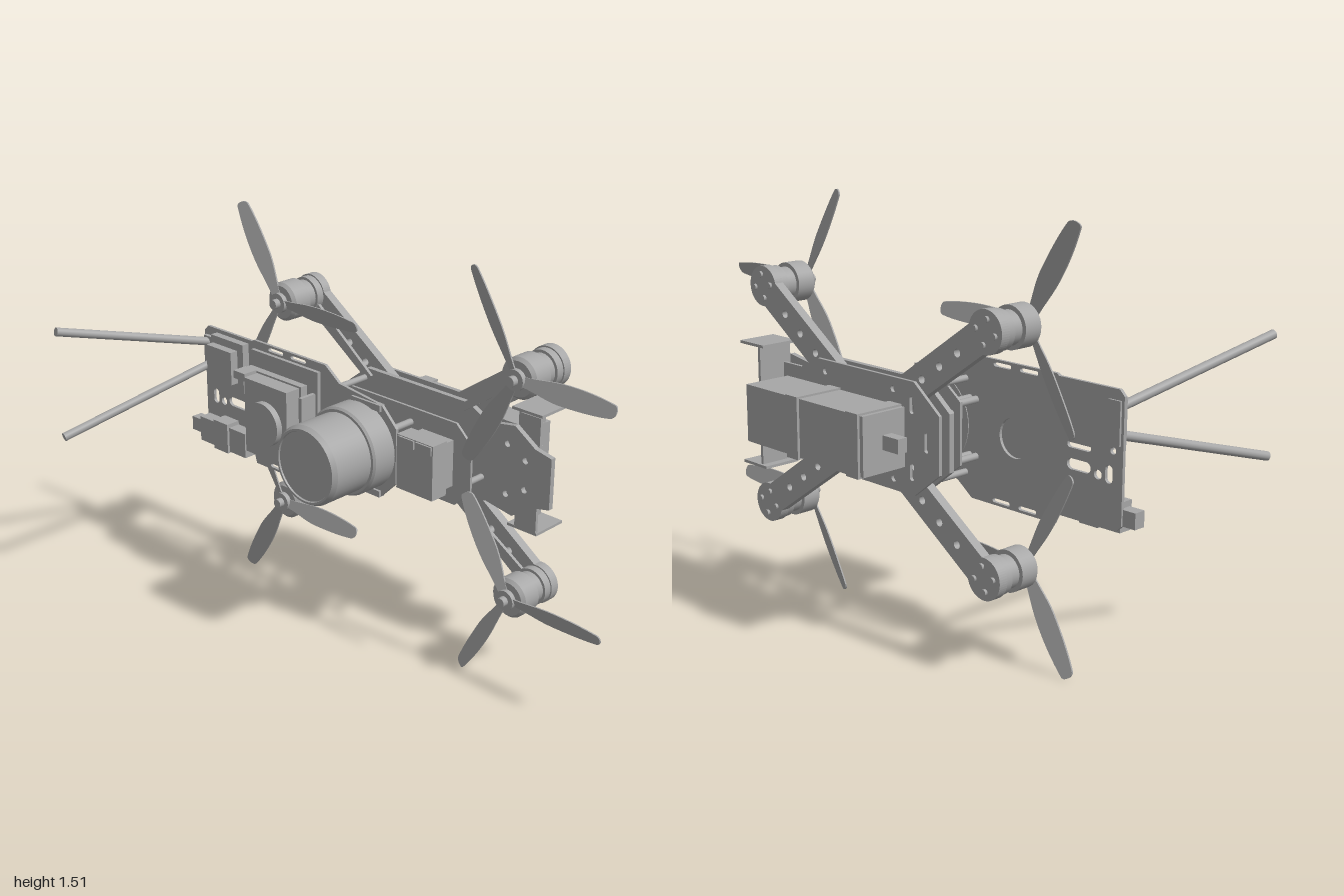
import * as THREE from 'three';

const CY = 0.755; // height of the long axis

export function createModel() {
  const model = new THREE.Group();
  const grey = new THREE.MeshStandardMaterial({ color: 0xa6a6a6 });

  const add = (geo, name, parent = model) => {
    const m = new THREE.Mesh(geo, grey);
    m.name = name;
    parent.add(m);
    return m;
  };
  // box given by its limits
  const box = (name, x0, x1, y0, y1, z0, z1) =>
    add(new THREE.BoxGeometry(x1 - x0, y1 - y0, z1 - z0), name)
      .position.set((x0 + x1) / 2, (y0 + y1) / 2, (z0 + z1) / 2);
  // cylinder along z
  const disc = (name, x, y, r, z0, z1, parent = model, sides = 32, r2 = r) =>
    add(new THREE.CylinderGeometry(r2, r, z1 - z0, sides).rotateX(Math.PI / 2), name, parent)
      .position.set(x, y, (z0 + z1) / 2);
  const slot = (x0, x1, y0, y1) => {
    const p = new THREE.Path(), r = Math.min(x1 - x0, y1 - y0) / 2;
    const flat = x1 - x0 > y1 - y0;
    if (flat) {
      p.absarc(x1 - r, y0 + r, r, -Math.PI / 2, Math.PI / 2);
      p.absarc(x0 + r, y0 + r, r, Math.PI / 2, Math.PI * 1.5);
    } else {
      p.absarc(x0 + r, y1 - r, r, 0, Math.PI);
      p.absarc(x0 + r, y0 + r, r, Math.PI, Math.PI * 2);
    }
    p.closePath();
    return p;
  };
  const hole = (x, y, r) => slot(x - r, x + r, y - r, y + r);
  // flat plate from an outline, with holes
  const plate = (name, pts, z0, z1, holes = []) => {
    const s = new THREE.Shape(pts.map(p => new THREE.Vector2(...p)));
    s.holes = holes;
    const g = new THREE.ExtrudeGeometry(s, { depth: z1 - z0, bevelEnabled: false, curveSegments: 8 });
    add(g, name).position.z = z0;
  };
  // outline mirrored about the long axis, from the upper half [x, half width]
  const mirrored = half => [
    ...half.map(([x, h]) => [x, CY + h]),
    ...half.slice().reverse().map(([x, h]) => [x, CY - h]),
  ];

  // frame plates
  plate('frontPlate', [[-0.88, 0.98], [-0.86, 1], [-0.61, 1], [-0.6, 1.007], [-0.22, 1.007], [-0.15, 0.955],
    [0.06, 0.93], [0.13, 0.86], [0.13, 0.65], [0.06, 0.58], [-0.15, 0.555], [-0.22, 0.503], [-0.6, 0.503],
    [-0.61, 0.54], [-0.86, 0.54], [-0.88, 0.56]], -0.097, -0.085, [
    slot(-0.75, -0.65, 0.703, 0.74), slot(-0.84, -0.81, 0.69, 0.75), hole(-0.78, 0.71, 0.016),
    slot(-0.75, -0.65, 0.775, 0.8), hole(-0.84, 0.8, 0.012),
    slot(-0.52, -0.44, 0.983, 0.998), slot(-0.40, -0.32, 0.983, 0.998),
    slot(-0.52, -0.44, 0.512, 0.527), slot(-0.40, -0.32, 0.512, 0.527), hole(-0.42, CY, 0.07)]);
  plate('middlePlate', mirrored([[-0.26, 0.11], [-0.2, 0.155], [0.32, 0.155], [0.39, 0.09]]), -0.193, -0.183);
  const core = [[-0.32, 0.1], [-0.2, 0.195], [0.29, 0.195], [0.38, 0.15]];
  plate('innerPlate', mirrored([...core, [0.5, 0.17], [0.59, 0.11], [0.66, 0.095]]), -0.3, -0.28, [
    hole(0.55, 0.81, 0.012), hole(0.55, 0.7, 0.012), hole(0.47, 0.85, 0.012), hole(0.47, 0.66, 0.012)]);
  plate('backPlate', mirrored([...core, [0.48, 0.15]]), -0.347, -0.335, [
    slot(-0.27, -0.25, 0.72, 0.79), slot(-0.2, -0.18, 0.84, 0.9), slot(-0.2, -0.18, 0.61, 0.67),
    hole(-0.1, 0.91, 0.012), hole(-0.1, 0.6, 0.012), hole(0.25, 0.91, 0.012), hole(0.25, 0.6, 0.012)]);

  // spacers between the plates
  for (const s of [1, -1]) {
    for (const x of [-0.22, 0, 0.12, 0.24, 0.36]) disc('spacer', x, CY + s * 0.065, 0.012, -0.285, -0.188, model, 12);
    for (const x of [-0.24, -0.21, 0.11]) disc('spacer', x, CY + s * 0.1, 0.013, -0.19, -0.09, model, 12);
    disc('longSpacer', -0.19, CY + s * 0.165, 0.012, -0.285, -0.09, model, 12);
  }

  // propeller blade along +x, tilted by the rule z = k * y
  const bladeGeo = k => {
    const s = new THREE.Shape();
    s.moveTo(0.02, -0.015);
    s.bezierCurveTo(0.1, -0.02, 0.13, -0.037, 0.21, -0.035);
    s.quadraticCurveTo(0.32, -0.034, 0.38, -0.024);
    s.quadraticCurveTo(0.396, -0.018, 0.396, 0);
    s.quadraticCurveTo(0.396, 0.016, 0.385, 0.018);
    s.quadraticCurveTo(0.3, 0.032, 0.21, 0.031);
    s.bezierCurveTo(0.13, 0.03, 0.1, 0.018, 0.02, 0.015);
    const g = new THREE.ExtrudeGeometry(s, { depth: 0.006, bevelEnabled: false, curveSegments: 8 });
    const p = g.attributes.position;
    for (let i = 0; i < p.count; i++) p.setZ(i, p.getZ(i) - 0.003 + k * p.getY(i));
    g.computeVertexNormals();
    return g;
  };

  // arms, motors and propellers
  for (const [mx, rootX] of [[-0.513, -0.08], [0.604, 0.17]]) {
    for (const s of [1, -1]) {
      const my = CY + s * 0.406, rootY = CY + s * 0.105;
      const len = Math.hypot(rootX - mx, rootY - my), ang = Math.atan2(rootY - my, rootX - mx);

      const arm = new THREE.Group();
      arm.name = 'arm';
      arm.position.set(mx, my, 0);
      arm.rotation.z = ang;
      model.add(arm);
      const sh = new THREE.Shape();
      sh.absarc(0, 0, 0.073, 0.85, Math.PI * 2 - 0.85);
      sh.lineTo(len, -0.055);
      sh.lineTo(len, 0.055);
      sh.holes = [hole(0.15, 0, 0.014), hole(0.25, 0, 0.014), hole(0.35, 0, 0.014)];
      add(new THREE.ExtrudeGeometry(sh, { depth: 0.035, bevelEnabled: false, curveSegments: 20 }), 'armPlate', arm)
        .position.z = -0.335;
      const wire = add(new THREE.BoxGeometry(0.36, 0.028, 0.012), 'armWire', arm);
      wire.position.set(0.24, 0, -0.275);
      wire.rotation.y = -0.05;

      const motor = new THREE.Group();
      motor.name = 'motor';
      motor.position.set(mx, my, 0);
      model.add(motor);
      disc('motorBase', 0, 0, 0.068, -0.3, -0.27, motor);
      disc('motorCoil', 0, 0, 0.058, -0.275, -0.22, motor);
      disc('motorBell', 0, 0, 0.073, -0.228, -0.158, motor);
      disc('motorCap', 0, 0, 0.073, -0.158, -0.146, motor, 32, 0.062);
      disc('propellerHub', 0, 0, 0.037, -0.156, -0.128, motor, 24);
      disc('propellerNut', 0, 0, 0.018, -0.14, -0.105, motor, 12);
      for (let i = 0; i < 4; i++) {
        const a = ang + Math.PI / 4 + i * Math.PI / 2;
        disc('motorBolt', 0.043 * Math.cos(a), 0.043 * Math.sin(a), 0.011, -0.345, -0.333, motor, 10);
      }
      const geo = bladeGeo((mx < 0 ? 1 : -1) * s * 0.35);
      for (let i = 0; i < 3; i++) {
        const b = add(geo, 'propellerBlade', motor);
        b.position.z = -0.141;
        b.rotation.z = i * Math.PI * 2 / 3;
      }
    }
  }

  // battery with straps and lead
  box('battery', -0.155, 0.46, 0.652, 0.858, -0.53, -0.347);
  for (const x of [-0.14, 0.17]) box('batteryStrap', x, x + 0.06, 0.645, 0.865, -0.54, -0.345);
  box('batteryLead', -0.23, -0.155, 0.73, 0.78, -0.445, -0.405);

  // tail bracket
  box('tailWall', 0.495, 0.507, 0.535, 0.975, -0.44, -0.305);
  box('tailFace', 0.5, 0.59, 0.54, 0.97, -0.315, -0.303);
  for (const y of [0.53, 0.972]) box('tailFlange', 0.465, 0.595, y, y + 0.01, -0.45, -0.303);
  for (let i = 0; i < 4; i++) box('tailLight', 0.507, 0.525, 0.6 + i * 0.085, 0.65 + i * 0.085, -0.41, -0.345);

  // lens barrel
  const lens = [[0, -0.1], [0.165, -0.1], [0.165, 0.01], [0.158, 0.018], [0.148, 0.018], [0.148, 0.18],
    [0.138, 0.198], [0.13, 0.198], [0.128, 0.192], [0, 0.192]];
  // each straight section keeps its own sharp edges
  const barrel = new THREE.Group();
  barrel.name = 'lensBarrel';
  barrel.position.set(-0.04, CY, 0);
  model.add(barrel);
  for (let i = 0; i < lens.length - 1; i++) {
    const pts = [lens[i], lens[i + 1]].map(p => new THREE.Vector2(...p));
    add(new THREE.LatheGeometry(pts, 48).rotateX(Math.PI / 2), 'lensSection', barrel);
  }
  for (const s of [1, -1]) box('lensTab', -0.08, 0.06, CY + s * 0.165 - 0.012, CY + s * 0.165 + 0.012, -0.1, -0.075);

  // small camera unit beside the lens
  box('cameraUnit', 0.155, 0.322, 0.655, 0.86, -0.135, -0.062);
  box('cameraUnitBase', 0.165, 0.31, 0.67, 0.845, -0.185, -0.135);
  for (const x of [0.165, 0.245]) box('cameraConnector', x, x + 0.072, 0.825, 0.857, -0.065, -0.055);

  // control unit with dial
  box('controlBoard', -0.6, -0.245, 0.545, 0.975, -0.086, -0.07);
  box('controlBoardTop', -0.6, -0.3, 0.6, 0.912, -0.07, -0.04);
  box('controlBox', -0.535, -0.31, 0.61, 0.905, -0.04, 0.025);
  disc('controlDial', -0.42, CY, 0.085, 0.025, 0.05);
  box('controlFin', -0.272, -0.257, 0.655, 0.89, -0.085, 0);
  box('sidePlug', -0.6, -0.54, 0.885, 0.915, -0.04, 0.02);

  // receiver, side connector and antennas
  box('receiver', -0.8, -0.662, 0.825, 0.955, -0.09, -0.022);
  box('receiverBase', -0.81, -0.63, 0.79, 0.985, -0.09, -0.055);
  box('transmitter', -0.87, -0.61, 0.535, 0.635, -0.09, -0.035);
  box('transmitterCap', -0.78, -0.7, 0.53, 0.65, -0.09, -0.025);
  box('transmitterPlug', -0.93, -0.87, 0.56, 0.615, -0.09, -0.045);
  box('antennaMount', -0.87, -0.82, 0.82, 0.965, -0.105, -0.07);
  for (const [y0, y1] of [[0.94, 1.1], [0.85, 0.685]]) {
    const a = new THREE.Vector3(-0.85, y0, -0.08), b = new THREE.Vector3(-0.983, y1, 0.53);
    const rod = add(new THREE.CylinderGeometry(0.016, 0.016, a.distanceTo(b), 16), 'antenna');
    rod.position.copy(a).add(b).multiplyScalar(0.5);
    rod.quaternion.setFromUnitVectors(new THREE.Vector3(0, 1, 0), b.clone().sub(a).normalize());
  }
  return model;
}
